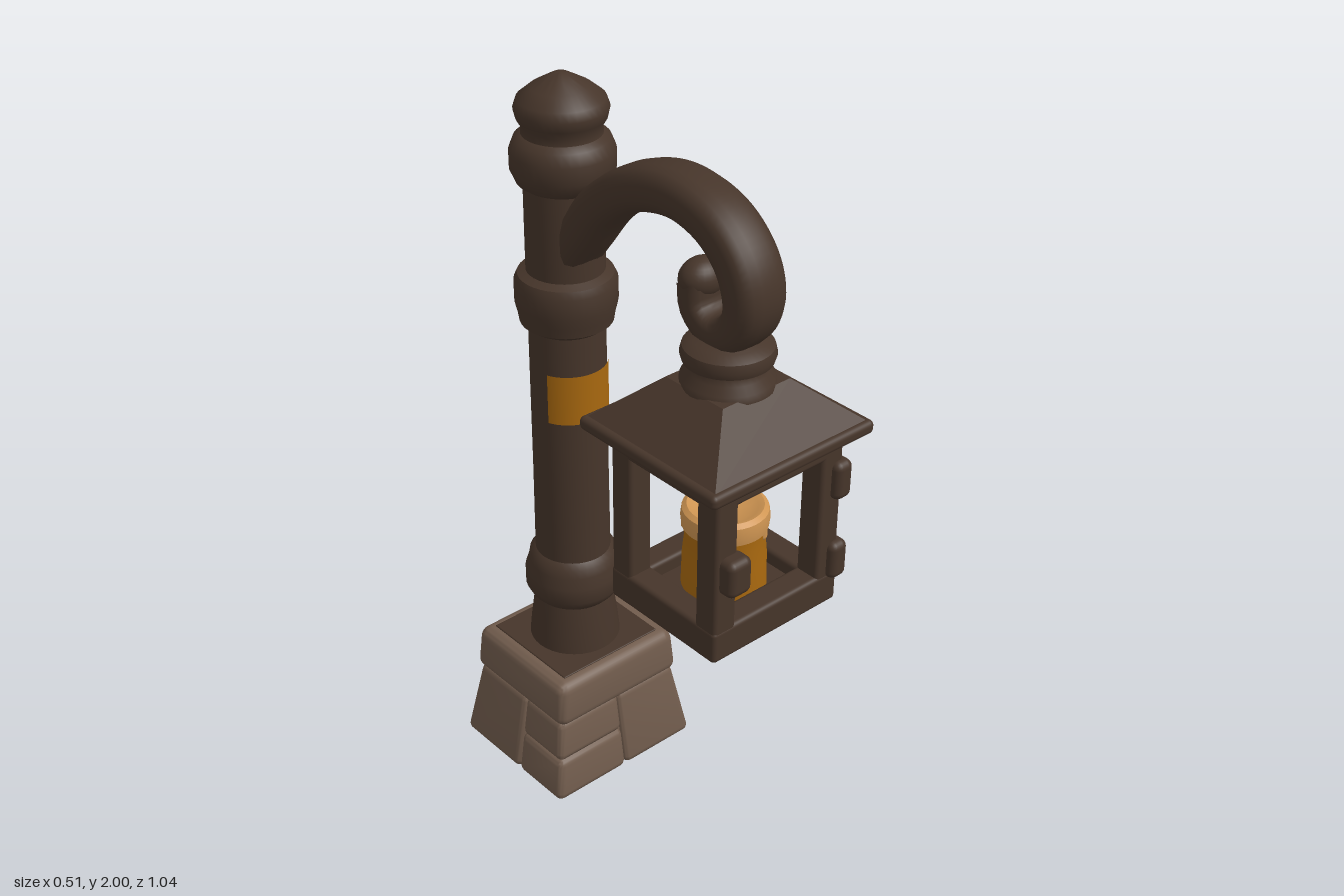
import * as THREE from 'three';
import { toCreasedNormals } from 'three/addons/utils/BufferGeometryUtils.js';
import { RoundedBoxGeometry } from 'three/addons/geometries/RoundedBoxGeometry.js';

const paint = (name, color) => Object.assign(new THREE.MeshStandardMaterial({ color }), { name });

export function createModel() {
  const wood = paint('darkWood', 0x46352a);
  const stone = paint('stone', 0x715c4d);
  const wax = paint('amberWax', 0xa8680f);
  const glow = paint('paleWax', 0xcf9552);

  const model = new THREE.Group();
  model.name = 'streetLantern';
  const group = (name, z) => {
    const g = new THREE.Group();
    g.name = name;
    g.position.z = z;
    model.add(g);
    return g;
  };
  const add = (parent, name, geometry, material, x = 0, y = 0, z = 0) => {
    const m = new THREE.Mesh(geometry, material);
    m.name = name;
    m.position.set(x, y, z);
    parent.add(m);
    return m;
  };
  const rbox = (w, h, d, r = 0.012) => new RoundedBoxGeometry(w, h, d, 3, r);
  const lathe = (pts, sides = 36) => toCreasedNormals(
    new THREE.LatheGeometry(pts.map(([r, y]) => new THREE.Vector2(r, y)), sides), 0.7);
  const reshape = (geometry, rule) => {
    const p = geometry.attributes.position, v = new THREE.Vector3();
    for (let i = 0; i < p.count; i++) {
      v.fromBufferAttribute(p, i);
      rule(v, i);
      p.setXYZ(i, v.x, v.y, v.z);
    }
    return toCreasedNormals(geometry, 0.8);
  };

  // Stone footing: tapered blocks around a core
  const base = group('stoneBase', -0.303);
  const block = (name, x0, x1, y0, y1, z0, z1, r = 0.022) => {
    const g = rbox(x1 - x0, y1 - y0, z1 - z0, r);
    g.translate((x0 + x1) / 2, (y0 + y1) / 2, (z0 + z1) / 2);
    add(base, name, reshape(g, (v) => {
      const s = 1 - 0.72 * v.y;
      v.x *= s;
      v.z *= s;
    }), stone);
  };
  block('baseCore', -0.228, 0.228, 0.004, 0.26, -0.205, 0.205);
  for (const sx of [-1, 1]) for (const sz of [-1, 1]) {
    const xs = sx < 0 ? [-0.245, 0.002] : [-0.002, 0.243];
    const zs = sz < 0 ? [-0.218, 0.032] : [0.028, 0.22];
    if (sx * sz < 0) {
      block('lowerStone', ...xs, 0, 0.126, ...zs);
      block('middleStone', ...xs, 0.12, 0.24, ...zs);
    } else block('cornerStone', ...xs, 0, 0.24, ...zs);
  }
  const cap = rbox(0.415, 0.135, 0.385, 0.03);
  add(base, 'capStone', reshape(cap, (v) => {
    v.x *= 1 - 0.4 * v.y;
    v.z *= 1 - 0.4 * v.y;
  }), stone, 0, 0.298);
  add(base, 'capInset', rbox(0.33, 0.008, 0.31, 0.003), wood, 0, 0.365);

  // Turned post with three collars and a domed finial
  const post = group('post', -0.305);
  add(post, 'postShaft', lathe([
    [0, 0.34], [0.127, 0.35], [0.12, 0.42], [0.108, 0.51],
    [0.122, 0.525], [0.132, 0.545], [0.132, 0.59], [0.122, 0.62], [0.118, 0.645], [0.102, 0.66],
    [0.1, 0.9], [0.099, 1.34],
    [0.12, 1.355], [0.124, 1.38], [0.131, 1.41], [0.131, 1.465], [0.122, 1.485], [0.1, 1.495],
    [0.099, 1.72],
    [0.116, 1.732], [0.13, 1.765], [0.13, 1.81], [0.118, 1.84], [0.1, 1.852],
    [0.098, 1.87], [0.11, 1.89], [0.116, 1.915], [0.108, 1.938], [0.075, 1.965], [0.04, 1.985],
    [0.018, 1.997], [0, 2.0],
  ]), wood);
  const arc = 2.45;
  const plaque = new THREE.CylinderGeometry(0.103, 0.103, 0.14, 20, 1, true, -arc / 2, arc);
  add(post, 'amberPlaque', plaque, wax, 0, 1.165);

  // Curled arm: a tube squared off and thinned towards the scroll
  const path = new THREE.CatmullRomCurve3([
    [-0.29, 1.53], [-0.22, 1.62], [-0.13, 1.73], [-0.01, 1.812], [0.13, 1.845], [0.26, 1.815],
    [0.34, 1.74], [0.362, 1.65], [0.327, 1.58], [0.262, 1.555], [0.203, 1.59], [0.192, 1.655],
  ].map(([z, y]) => new THREE.Vector3(0, y, z)));
  const steps = 72, sides = 20, tr = 0.05;
  const arm = group('arm', 0);
  add(arm, 'curledArm', reshape(new THREE.TubeGeometry(path, steps, tr, sides), (v, i) => {
    const u = Math.floor(i / (sides + 1)) / steps;
    const c = path.getPointAt(u);
    const d = v.clone().sub(c).divideScalar(tr);
    const b = Math.hypot(d.y, d.z);
    const f = (Math.abs(d.x) ** 3.2 + b ** 3.2) ** (-1 / 3.2);
    const thin = THREE.MathUtils.smoothstep(u, 0.68, 0.95);
    const t = (0.056 - 0.016 * thin) * f;
    v.set(d.x * f * (0.071 - 0.012 * thin), c.y + d.y * t, c.z + d.z * t);
  }), wood);
  add(arm, 'scrollEnd', new THREE.SphereGeometry(0.049, 24, 16), wood, 0, 1.658, 0.193).scale.x = 1.25;

  // Lantern
  const lantern = group('lantern', 0.285);
  add(lantern, 'lanternNeck', lathe([
    [0, 1.41], [0.115, 1.425], [0.112, 1.445], [0.095, 1.462], [0.092, 1.48],
    [0.108, 1.488], [0.113, 1.505], [0.108, 1.525], [0.085, 1.54], [0, 1.545],
  ]), wood);
  const roof = new THREE.CylinderGeometry(0.105 * Math.SQRT2, 0.245 * Math.SQRT2, 0.115, 4, 1);
  roof.rotateY(Math.PI / 4);
  roof.scale(1, 1, 0.92);
  add(lantern, 'roof', toCreasedNormals(roof, 0.3), wood, 0, 1.3775);
  add(lantern, 'roofEave', rbox(0.512, 0.036, 0.47, 0.014), wood, 0, 1.308);

  // Open frame: four posts, beams on every side, closed floor
  const frame = new THREE.Group();
  frame.name = 'lanternFrame';
  frame.position.z = 0.005;
  lantern.add(frame);
  for (const s of [-1, 1]) {
    for (const t of [-1, 1]) add(frame, 'cornerPost', rbox(0.07, 0.46, 0.07), wood, s * 0.168, 1.065, t * 0.15);
    for (const [name, y, h, e] of [['bottomRail', 0.857, 0.09, 0.003], ['topRail', 1.267, 0.066, 0]]) {
      add(frame, name, rbox(0.404 + 2 * e, h, 0.07 + e), wood, 0, y, s * 0.15);
      add(frame, name, rbox(0.07 + e, h, 0.366 + 2 * e), wood, s * 0.168, y, 0);
    }
  }
  add(frame, 'lanternFloor', rbox(0.39, 0.05, 0.35), wood, 0, 0.838);

  // Door hinges and latch on the front corners
  for (const y of [0.94, 1.17]) add(frame, 'hinge', rbox(0.055, 0.105, 0.07, 0.02), wood, 0.193, y, 0.172);
  add(frame, 'latch', rbox(0.072, 0.1, 0.06, 0.02), wood, -0.155, 1.06, 0.195);

  // Candle with soft melted top, drips, wick and flame
  const candle = new THREE.Group();
  candle.name = 'candle';
  candle.position.z = 0.005;
  lantern.add(candle);
  add(candle, 'candleBody', lathe([[0, 0.855], [0.106, 0.86], [0.104, 0.95], [0.099, 1.0], [0.102, 1.05], [0, 1.05]]), wax);
  add(candle, 'meltedTop', lathe([
    [0.098, 1.03], [0.106, 1.035], [0.109, 1.06], [0.106, 1.082], [0.094, 1.091], [0.08, 1.086], [0.06, 1.074], [0, 1.07],
  ]), glow);
  for (const [a, len] of [[0.5, 0.02], [1.6, 0.012], [2.7, 0.022], [3.9, 0.014], [5.2, 0.02]]) {
    add(candle, 'waxDrip', new THREE.CapsuleGeometry(0.013, len, 4, 10), glow,
      Math.sin(a) * 0.094, 1.03, Math.cos(a) * 0.094);
  }
  add(candle, 'wick', new THREE.CylinderGeometry(0.007, 0.007, 0.04, 8), wood, 0, 1.085);
  add(candle, 'flame', lathe([
    [0, 1.088], [0.012, 1.094], [0.022, 1.118], [0.034, 1.145], [0.029, 1.17], [0.016, 1.2], [0.006, 1.225], [0, 1.235],
  ], 20), glow);

  return model;
}
